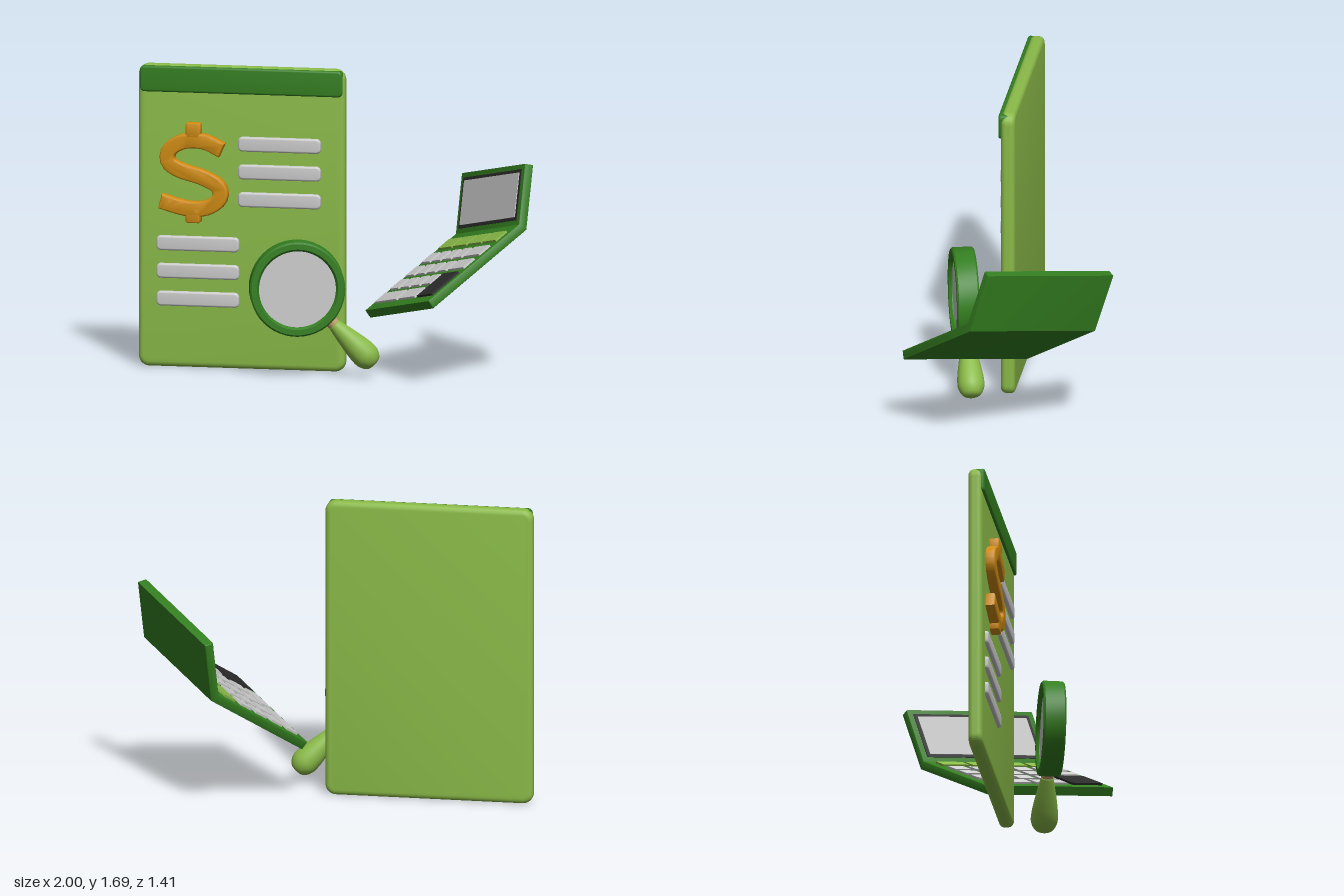
import * as THREE from 'three';
import { toCreasedNormals } from 'three/addons/utils/BufferGeometryUtils.js';

const material = (color) => new THREE.MeshStandardMaterial({ color, side: THREE.DoubleSide });
const lightGreen = material(0x8aba48);
const darkGreen = material(0x347f20);
const gold = material(0xd08c12);
const grey = material(0xcccccc);
const black = material(0x2b2b2b);
const tan = material(0xc49a6c);

function add(parent, name, geometry, mat, x = 0, y = 0, z = 0) {
  const mesh = new THREE.Mesh(geometry, mat);
  mesh.name = name;
  mesh.position.set(x, y, z);
  parent.add(mesh);
  return mesh;
}

function group(parent, name, x, y, z) {
  const g = new THREE.Group();
  g.name = name;
  g.position.set(x, y, z);
  parent.add(g);
  return g;
}

// Extrusion centred on z = 0, with a rounded edge that stays inside depth
function extrude(shape, depth, bevel) {
  const geo = new THREE.ExtrudeGeometry(shape, {
    depth: depth - 2 * bevel, bevelEnabled: bevel > 0,
    bevelSize: bevel, bevelThickness: bevel, bevelSegments: 4, curveSegments: 8,
  });
  geo.translate(0, 0, bevel - depth / 2);
  return toCreasedNormals(geo, 0.6);
}

// Slab with rounded corners and edges
function slab(w, h, depth, radius, bevel) {
  const x = w / 2 - bevel, y = h / 2 - bevel;
  const r = Math.max(radius - bevel, 0.002);
  const s = new THREE.Shape();
  s.absarc(x - r, y - r, r, 0, Math.PI / 2);
  s.absarc(r - x, y - r, r, Math.PI / 2, Math.PI);
  s.absarc(r - x, r - y, r, Math.PI, Math.PI * 1.5);
  s.absarc(x - r, r - y, r, Math.PI * 1.5, Math.PI * 2);
  return extrude(s, depth, bevel);
}

// Outline of constant width around a smooth centre line
function strokeShape(points, halfWidth) {
  const curve = new THREE.SplineCurve(points.map(([x, y]) => new THREE.Vector2(x, y)));
  const left = [], right = [];
  for (let i = 0; i <= 48; i++) {
    const p = curve.getPointAt(i / 48), t = curve.getTangentAt(i / 48);
    left.push(new THREE.Vector2(p.x - t.y * halfWidth, p.y + t.x * halfWidth));
    right.unshift(new THREE.Vector2(p.x + t.y * halfWidth, p.y - t.x * halfWidth));
  }
  return new THREE.Shape([...left, ...right]);
}

function buildDocument(root) {
  const doc = group(root, 'document', -0.465, 0.85, 0.397);
  doc.rotation.y = 0.456;
  add(doc, 'page', slab(1.165, 1.69, 0.08, 0.06, 0.03), lightGreen, 0, 0.005, -0.005);
  add(doc, 'headerStrip', slab(1.14, 0.145, 0.06, 0.025, 0.012), darkGreen, 0, 0.77, 0.018);

  // Two blocks of text lines
  const line = slab(0.465, 0.083, 0.04, 0.025, 0.012);
  for (let i = 0; i < 3; i++) {
    add(doc, 'upperTextLine', line, grey, 0.217, 0.42 - i * 0.155, 0.035);
    add(doc, 'lowerTextLine', line, grey, -0.243, -0.145 - i * 0.155, 0.035);
  }

  // Currency sign: an S stroke with a stub above and below
  const sign = group(doc, 'currencySign', -0.263, 0.255, 0.055);
  const path = [[0.15, 0.135], [0.06, 0.175], [-0.05, 0.175], [-0.135, 0.125], [-0.14, 0.055],
    [-0.07, 0.01], [0.05, -0.025], [0.14, -0.075], [0.145, -0.145], [0.07, -0.195],
    [-0.04, -0.2], [-0.175, -0.165]];
  add(sign, 'curvedStroke', extrude(strokeShape(path, 0.03), 0.066, 0.012), gold);
  for (const y of [0.235, -0.235]) {
    add(sign, 'stub', slab(0.085, 0.09, 0.066, 0.015, 0.012), gold, 0, y, 0);
  }
}

function lathe(points) {
  const geo = new THREE.LatheGeometry(points.map(([x, y]) => new THREE.Vector2(x, y)), 48);
  return toCreasedNormals(geo, 0.6);
}

function buildMagnifier(root) {
  const glass = group(root, 'magnifier', -0.02, 0.512, 0.48);
  glass.rotation.y = 0.711;
  const rim = add(glass, 'rim', lathe([[0.213, -0.045], [0.225, -0.062], [0.255, -0.062],
    [0.264, -0.053], [0.264, 0.053], [0.255, 0.062], [0.225, 0.062], [0.213, 0.045],
    [0.213, -0.045]]), darkGreen);
  rim.rotation.x = Math.PI / 2;
  const lens = add(glass, 'lens', new THREE.CylinderGeometry(0.214, 0.214, 0.08, 48), grey);
  lens.rotation.x = Math.PI / 2;

  // Handle runs outward and down from the rim
  const handle = group(glass, 'handle', 0, 0, 0);
  handle.rotation.z = -Math.PI * 0.75;
  add(handle, 'collar', new THREE.CylinderGeometry(0.035, 0.035, 0.035, 24), tan, 0, 0.27, 0);
  const profile = new THREE.SplineCurve([[0.034, 0.285], [0.046, 0.34], [0.062, 0.42],
    [0.074, 0.5], [0.072, 0.555], [0.045, 0.598], [0, 0.608]]
    .map(([x, y]) => new THREE.Vector2(x, y))).getPoints(24);
  profile[24].x = 0;
  add(handle, 'grip', new THREE.LatheGeometry([new THREE.Vector2(0, 0.285), ...profile], 32),
    lightGreen);
}

function buildCalculator(root) {
  // Origin at the middle of the inner fold; +z runs to the front edge, +y out of the keys
  const calc = group(root, 'calculator', 0.621, 0.791, -0.408);
  const x = new THREE.Vector3(0.88, 0.205, 0.43).normalize();
  const y = new THREE.Vector3(-0.392, 0.824, 0.409);
  const z = new THREE.Vector3().crossVectors(x, y).normalize();
  y.crossVectors(z, x);
  calc.quaternion.setFromRotationMatrix(new THREE.Matrix4().makeBasis(x, y, z));

  // Bent side profile extruded across the width
  const side = new THREE.Shape([[0.702, -0.006], [0.702, -0.044], [-0.018, -0.044],
    [-0.268, 0.206], [-0.24, 0.233], [-0.003, -0.006]].map(([a, b]) => new THREE.Vector2(-a, b)));
  const body = add(calc, 'foldedBody', extrude(side, 0.81, 0.006), darkGreen);
  body.rotation.y = Math.PI / 2;

  const key = (name, x0, x1, z0, z1, mat) => add(calc, name,
    new THREE.BoxGeometry(x1 - x0, 0.03, z1 - z0), mat, (x0 + x1) / 2, -0.003, (z0 + z1) / 2);
  const half = 0.043;
  const rows = [0.11, 0.24, 0.362, 0.485, 0.607];
  for (let i = 0; i < 4; i++) {
    const left = -0.365 + i * 0.188;
    key('functionKey', left, left + 0.166, rows[0] - half, rows[0] + half, lightGreen);
  }
  for (let r = 1; r <= 3; r++) {
    for (let c = 0; c < 4; c++) {
      const left = -0.365 + c * 0.135;
      key('numberKey', left, left + 0.1, rows[r] - half, rows[r] + half, grey);
    }
    if (r < 3) key('wideKey', 0.175, 0.365, rows[r] - half, rows[r] + half, grey);
  }
  key('longKey', -0.365, -0.09, rows[4] - half, rows[4] + half, grey);
  key('middleKey', -0.06, 0.14, rows[4] - half, rows[4] + half, grey);
  key('enterKey', 0.175, 0.365, rows[3] - half, rows[4] + half, black);

  // Display on the raised flap
  const flap = group(calc, 'display', 0, 0, 0);
  flap.rotation.x = -Math.PI / 4;
  add(flap, 'displayFrame', new THREE.BoxGeometry(0.74, 0.285, 0.02), black, 0, 0.17, -0.006);
  add(flap, 'displayScreen', new THREE.BoxGeometry(0.7, 0.25, 0.02), grey, 0, 0.17, -0.002);
}

export function createModel() {
  const root = new THREE.Group();
  root.name = 'financeSet';
  buildDocument(root);
  buildMagnifier(root);
  buildCalculator(root);
  return root;
}
